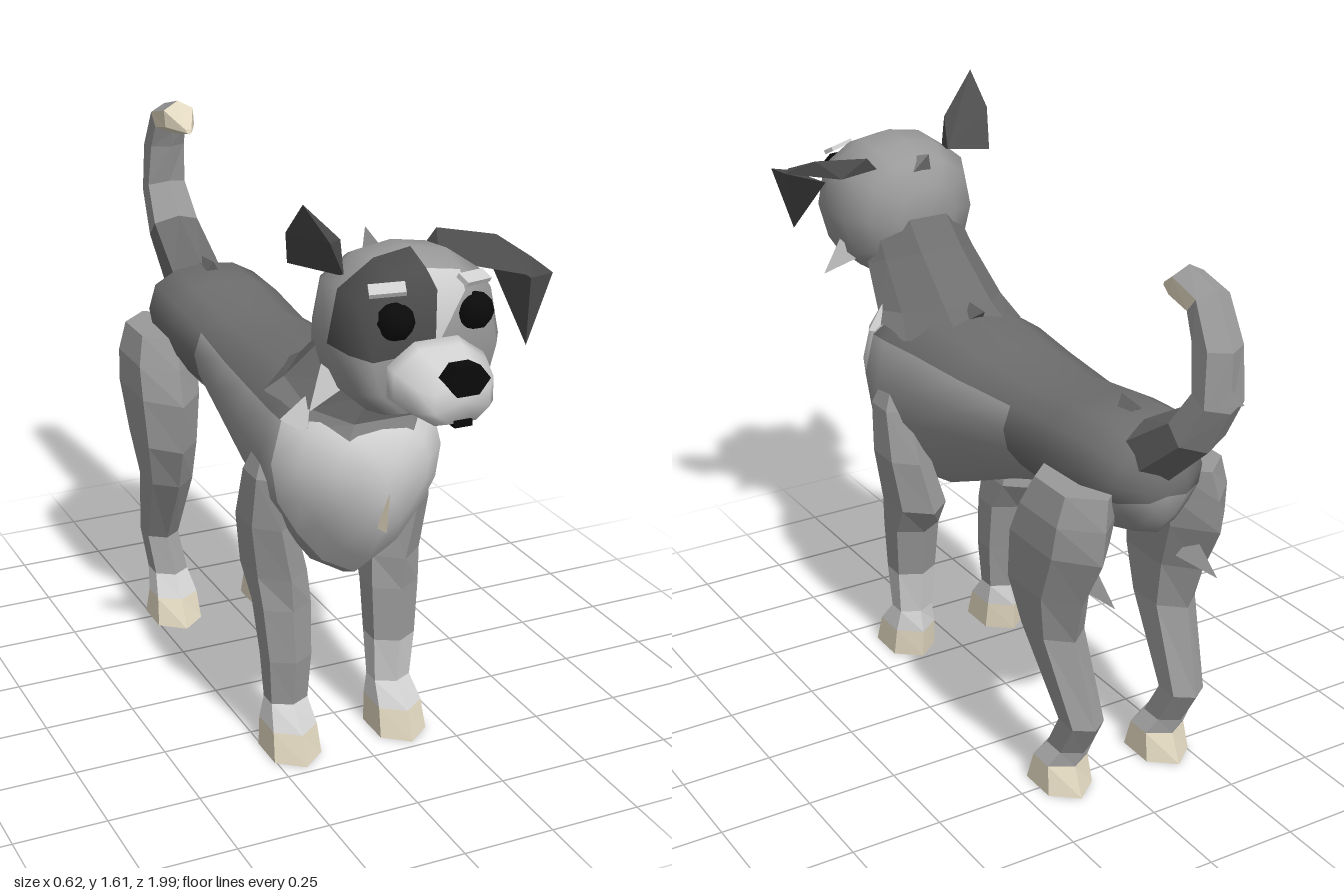
import * as THREE from 'three';
import { ConvexGeometry } from 'three/addons/geometries/ConvexGeometry.js';

const mat = (name, color) => {
  const m = new THREE.MeshStandardMaterial({ color });
  m.name = name;
  return m;
};

// Mirrored cross-section: half points [side, height 0..1] from bottom/front to top/back
function section(half) {
  const mirrored = half.filter(p => p[0] > 0).reverse().map(p => [-p[0], p[1]]);
  return [...half, ...mirrored];
}

// Skin through rings [x, yA, zA, yB, zB, halfWidth]; pick(ring, s, t) gives a material index.
// Each ring spans from point A to point B in the side plane.
function loft(name, rings, prof, mats, pick, flat = true) {
  const n = prof.length, pos = [], tris = mats.map(() => []);
  for (const [x, ya, za, yb, zb, w] of rings)
    for (const [s, t] of prof) pos.push(x + s * w, ya + (yb - ya) * t, za + (zb - za) * t);
  for (const [x, ya, za, yb, zb] of [rings[0], rings[rings.length - 1]])
    pos.push(x, (ya + yb) / 2, (za + zb) / 2);
  const last = rings.length - 1, c0 = n * rings.length;
  for (let j = 0; j < n; j++) {
    const k = (j + 1) % n;
    const s = (prof[j][0] + prof[k][0]) / 2, t = (prof[j][1] + prof[k][1]) / 2;
    for (let i = 0; i < last; i++) {
      const a = i * n + j, b = i * n + k;
      tris[pick(i, s, t)].push(a, b, b + n, a, b + n, a + n);
    }
    tris[pick(-1, s, t)].push(c0, k, j);
    tris[pick(last, s, t)].push(c0 + 1, last * n + j, last * n + k);
  }
  // Turn the skin outward by the sign of its volume
  const v = i => new THREE.Vector3().fromArray(pos, i * 3);
  let volume = 0;
  for (const l of tris)
    for (let i = 0; i < l.length; i += 3) volume += v(l[i]).dot(v(l[i + 1]).cross(v(l[i + 2])));
  const index = tris.flat();
  if (volume < 0)
    for (let i = 0; i < index.length; i += 3) [index[i], index[i + 1]] = [index[i + 1], index[i]];
  let geo = new THREE.BufferGeometry();
  geo.setAttribute('position', new THREE.Float32BufferAttribute(pos, 3));
  geo.setIndex(index);
  let start = 0;
  tris.forEach((l, m) => { if (l.length) geo.addGroup(start, l.length, m); start += l.length; });
  if (flat) geo = geo.toNonIndexed();
  geo.computeVertexNormals();
  const mesh = new THREE.Mesh(geo, mats);
  mesh.name = name;
  return mesh;
}

export function createModel() {
  const coat = mat('greyCoat', 0x9a9a9a), dark = mat('darkSaddle', 0x6e6e6e);
  const pale = mat('paleFur', 0xd0d0d0), cream = mat('cream', 0xe4dac2);
  const ear = mat('earCharcoal', 0x4c4c4c), black = mat('black', 0x0b0b0b);
  const mats = [coat, dark, pale, cream, ear];
  const model = new THREE.Group();
  model.name = 'dog';
  const dog = new THREE.Group();
  dog.name = 'dogParts';
  dog.position.x = -0.03;
  model.add(dog);

  const add = (name, geo, material, x, y, z) => {
    const m = new THREE.Mesh(geo, material);
    m.name = name;
    m.position.set(x, y, z);
    dog.add(m);
    return m;
  };
  const hull = (name, pts, material) =>
    add(name, new ConvexGeometry(pts.map(p => new THREE.Vector3(...p))), material, 0.03, 0, 0);
  // Three-sided fur tuft from base to tip
  const tuft = (name, base, tip, r, material) => {
    const a = new THREE.Vector3(...base), d = new THREE.Vector3(...tip).sub(a);
    const geo = new THREE.ConeGeometry(r, d.length(), 3).translate(0, d.length() / 2, 0).toNonIndexed();
    geo.computeVertexNormals();
    const m = add(name, geo, material, ...base);
    m.quaternion.setFromUnitVectors(new THREE.Vector3(0, 1, 0), d.normalize());
  };
  const along = ([z, yb, yt, w]) => [0, yb, z, yt, z, w];

  const hex = section([[0, 0], [1, 0.25], [1, 0.75], [0, 1]]);
  const oct = section([[0.5, 0], [1, 0.28], [1, 0.72], [0.45, 1]]);

  // Body, from chest to rump
  const trunk = section([[0, 0], [0.4, 0.1], [0.7, 0.27], [0.93, 0.45], [1, 0.65], [0.88, 0.86], [0.5, 0.97], [0, 1]]);
  const bodyRings = [
    [0.605, 0.78, 0.9, 0.05], [0.58, 0.69, 0.97, 0.13], [0.51, 0.59, 1.03, 0.2], [0.43, 0.52, 1.05, 0.235],
    [0.36, 0.49, 1.06, 0.237], [0.2, 0.56, 1.06, 0.23], [0, 0.65, 1.04, 0.205], [-0.23, 0.735, 1.03, 0.175],
    [-0.42, 0.72, 1.06, 0.18], [-0.58, 0.74, 1.07, 0.175], [-0.68, 0.78, 1.02, 0.13], [-0.72, 0.83, 0.96, 0.06],
  ];
  dog.add(loft('body', bodyRings.map(along), trunk, mats,
    (i, s, t) => i < 3 ? 2 : t > 0.85 || (i > 6 && t > (i > 8 ? 0.5 : 0.33)) ? 1 : 0, false));

  // Neck
  dog.add(loft('neck', [
    [0, 0.93, 0.57, 1.03, 0.16, 0.185], [0, 1.0, 0.58, 1.08, 0.25, 0.16],
    [0, 1.1, 0.65, 1.2, 0.4, 0.14], [0, 1.17, 0.7, 1.3, 0.5, 0.13],
  ], oct, mats, (i, s, t) => t > 0.8 ? 1 : 0));

  // Head with one dark eye patch and a pale blaze
  const skull = section([[0.5, 0], [0.85, 0.17], [1, 0.47], [0.88, 0.8], [0.45, 0.96], [0, 1]]);
  dog.add(loft('head', [
    [0.475, 1.2, 1.36, 0.09], [0.52, 1.13, 1.43, 0.165], [0.6, 1.09, 1.465, 0.205],
    [0.7, 1.085, 1.475, 0.212], [0.78, 1.1, 1.445, 0.195], [0.835, 1.12, 1.41, 0.16],
  ].map(along), skull, mats, (i, s, t) => {
    if (i < 3 || t < 0.5) return 0;
    if (s < 0) return 4;
    return i > 3 && s < 0.4 ? 2 : 0;
  }, false));

  // Muzzle, nose and mouth
  dog.add(loft('muzzle', [
    [0.8, 1.115, 1.31, 0.13], [0.86, 1.12, 1.28, 0.12], [0.93, 1.12, 1.255, 0.1], [0.968, 1.135, 1.235, 0.07],
  ].map(along), oct, mats, () => 2, false));
  const noseGeo = new THREE.CylinderGeometry(0.056, 0.05, 0.05, 6).rotateY(Math.PI / 6).rotateX(Math.PI / 2)
    .scale(1, 0.73, 1).toNonIndexed();
  noseGeo.computeVertexNormals();
  add('nose', noseGeo, black, 0, 1.242, 0.968);
  add('mouth', new THREE.BoxGeometry(0.045, 0.016, 0.03), black, 0, 1.134, 0.96);

  for (const side of [-1, 1]) {
    add('eye', new THREE.IcosahedronGeometry(0.046, 1), black, side * 0.102, 1.345, 0.828);
    const brow = add('brow', new THREE.BoxGeometry(0.085, 0.012, 0.035), pale, side * 0.112, 1.415, 0.805);
    brow.rotation.set(0.5, side * 0.3, side * -0.25);
    tuft('cheekTuft', [side * 0.165, 1.165, 0.66], [side * 0.24, 1.09, 0.665], 0.05, pale);
    tuft('thighTuft', [side * 0.155, 0.67, -0.61], [side * 0.155, 0.63, -0.73], 0.045, coat);
    tuft('chestSideTuft', [side * 0.175, 0.97, 0.465], [side * 0.145, 1.06, 0.47], 0.05, pale);
  }

  // Upright ear and folded ear
  hull('uprightEar', [[-0.31, 1.61, 0.715], [-0.31, 1.52, 0.62], [-0.27, 1.42, 0.54], [-0.15, 1.43, 0.57],
    [-0.19, 1.5, 0.66], [-0.18, 1.41, 0.66], [-0.24, 1.51, 0.71]], ear);
  hull('foldedEarBase', [[0.08, 1.41, 0.64], [0.13, 1.455, 0.53], [0.1, 1.42, 0.53], [0.25, 1.445, 0.61],
    [0.31, 1.4, 0.68], [0.26, 1.385, 0.77], [0.2, 1.4, 0.55]], ear);
  hull('foldedEarFlap', [[0.31, 1.4, 0.68], [0.308, 1.39, 0.78], [0.255, 1.21, 0.76], [0.255, 1.38, 0.77],
    [0.25, 1.4, 0.55]], ear);

  // Legs: rows of [y, zFront, zBack, x, halfWidth], mirrored to both sides
  const front = [
    [0.9, 0.36, 0.29, 0.18, 0.03], [0.8, 0.41, 0.24, 0.197, 0.052], [0.66, 0.405, 0.19, 0.195, 0.06],
    [0.51, 0.4, 0.165, 0.165, 0.07], [0.42, 0.395, 0.24, 0.158, 0.068], [0.27, 0.4, 0.265, 0.153, 0.06],
    [0.14, 0.385, 0.28, 0.153, 0.052], [0.08, 0.45, 0.26, 0.156, 0.063], [0, 0.478, 0.26, 0.157, 0.068],
  ];
  const hind = [
    [0.91, -0.41, -0.69, 0.155, 0.08], [0.83, -0.36, -0.705, 0.17, 0.088], [0.74, -0.31, -0.705, 0.178, 0.086],
    [0.6, -0.31, -0.63, 0.184, 0.074], [0.47, -0.37, -0.585, 0.175, 0.062], [0.24, -0.525, -0.66, 0.158, 0.048],
    [0.14, -0.47, -0.6, 0.155, 0.05], [0.08, -0.42, -0.565, 0.156, 0.062], [0, -0.38, -0.6, 0.157, 0.068],
  ];
  for (const side of [-1, 1])
    for (const [name, rows] of [['frontLeg', front], ['hindLeg', hind]]) {
      const sock = name === 'frontLeg' && side > 0 ? 5 : 6;
      dog.add(loft(name, rows.map(([y, zf, zb, x, w]) => [side * x, y, zf, y, zb, w]), hex, mats,
        i => i >= 7 ? 3 : i >= sock ? 2 : 0));
    }

  // Curled tail with a cream tip
  dog.add(loft('tail', [
    [0, 1.06, -0.61, 0.92, -0.7, 0.075], [0, 1.16, -0.78, 1.07, -0.87, 0.068],
    [0, 1.25, -0.85, 1.2, -0.95, 0.058], [0, 1.36, -0.83, 1.35, -0.95, 0.052],
    [0, 1.405, -0.815, 1.48, -0.88, 0.048], [0, 1.415, -0.75, 1.51, -0.77, 0.045], [0, 1.43, -0.68, 1.445, -0.685, 0.008],
  ], hex, mats, (i, s, t) => i < 1 ? 1 : i > 4 || (i === 4 && t < 0.7) ? 3 : 0));

  // Fur tufts along the back and the slim chest tuft
  tuft('tailTuft', [0, 1.23, -0.92], [0, 1.24, -1], 0.045, coat);
  tuft('headTuft', [0, 1.41, 0.52], [0, 1.46, 0.465], 0.035, coat);
  tuft('witherTuft', [0, 1.06, 0.23], [0, 1.09, 0.16], 0.035, dark);
  tuft('rumpTuft', [0, 1.06, -0.52], [0, 1.085, -0.6], 0.035, dark);
  tuft('chestTuft', [0, 0.71, 0.59], [0, 0.82, 0.622], 0.018, cream);
  return model;
}
